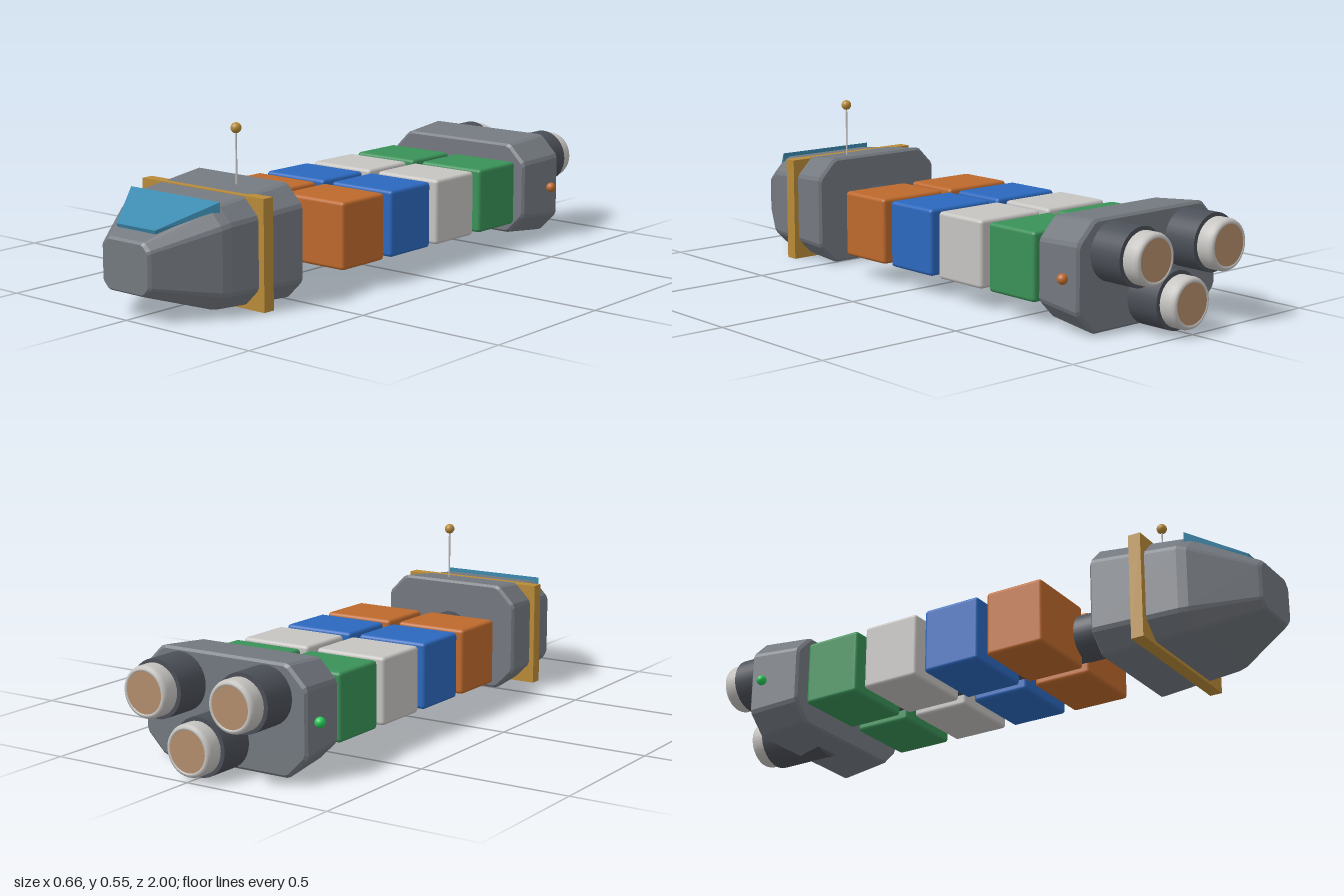
import * as THREE from 'three';
import { RoundedBoxGeometry } from 'three/addons/geometries/RoundedBoxGeometry.js';
import { ConvexGeometry } from 'three/addons/geometries/ConvexGeometry.js';

const mat = (name, color, flatShading = false) => {
  const m = new THREE.MeshStandardMaterial({ color, flatShading });
  m.name = name;
  return m;
};

// Chamfered rectangle with slightly softened corners, counter-clockwise seen from +z
function section(z, w, y0, y1, c, e = 0.008) {
  const corners = [
    [w, y0 + c], [w, y1 - c], [w - c, y1], [c - w, y1],
    [-w, y1 - c], [-w, y0 + c], [c - w, y0], [w - c, y0],
  ].map(([x, y]) => new THREE.Vector3(x, y, z));
  return corners.flatMap((p, i) => {
    const toward = (q) => p.clone().add(q.clone().sub(p).setLength(e));
    return [toward(corners[(i + 7) % 8]), toward(corners[(i + 1) % 8])];
  });
}

// Skin over sections listed from front to back, with closed ends
function loft(sections) {
  const pos = [];
  const tri = (...pts) => pts.forEach((p) => pos.push(p.x, p.y, p.z));
  const n = sections[0].length;
  for (let s = 0; s < sections.length - 1; s++) {
    const a = sections[s], b = sections[s + 1];
    for (let i = 0; i < n; i++) {
      const j = (i + 1) % n;
      tri(a[i], b[i], b[j]);
      tri(a[i], b[j], a[j]);
    }
  }
  const first = sections[0], last = sections[sections.length - 1];
  for (let i = 1; i < n - 1; i++) {
    tri(first[0], first[i], first[i + 1]);
    tri(last[0], last[i + 1], last[i]);
  }
  const g = new THREE.BufferGeometry();
  g.setAttribute('position', new THREE.Float32BufferAttribute(pos, 3));
  g.computeVertexNormals();
  return g;
}

export function createModel() {
  const hull = mat('hullGrey', 0x747980);
  const dark = mat('darkGrey', 0x4b4f57);
  const gold = mat('gold', 0xb88b38);
  const glass = mat('glassBlue', 0x3d8bb0);
  const orange = mat('orange', 0xbd692c);
  const blue = mat('blue', 0x2b68bd);
  const pale = mat('paleGrey', 0xc6c4c1);
  const green = mat('green', 0x3a9158);
  const tan = mat('tan', 0xb48e6c);
  const lamp = mat('lampGreen', 0x25c958);

  const model = new THREE.Group();
  model.name = 'cargoSpacecraft';
  const add = (name, geometry, material, x = 0, y = 0, z = 0, parent = model) => {
    const mesh = new THREE.Mesh(geometry, material);
    mesh.name = name;
    mesh.position.set(x, y, z);
    parent.add(mesh);
    return mesh;
  };
  const ball = (r) => new THREE.SphereGeometry(r, 24, 16);

  // Cabin with a tapered nose
  add('cabin', loft([
    section(1.0, 0.095, 0.088, 0.24, 0.022, 0.005),
    section(0.992, 0.104, 0.082, 0.248, 0.026, 0.005),
    section(0.81, 0.218, 0.024, 0.33, 0.05),
    section(0.78, 0.228, 0.019, 0.34, 0.053),
    section(0.498, 0.256, 0.003, 0.369, 0.064),
    section(0.49, 0.248, 0.01, 0.361, 0.062),
  ]), hull);
  add('cabinBand', new THREE.BoxGeometry(0.52, 0.351, 0.042), gold, 0, 0.1775, 0.655);

  // Windscreen slab on the sloping top of the nose
  const slab = [];
  for (const s of [-1, 1]) {
    slab.push(
      new THREE.Vector3(s * 0.19, 0.352, 0.79), new THREE.Vector3(s * 0.19, 0.32, 0.79),
      new THREE.Vector3(s * 0.082, 0.278, 0.955), new THREE.Vector3(s * 0.082, 0.264, 0.95),
    );
  }
  add('windscreen', new ConvexGeometry(slab), glass);

  // Antenna
  add('antennaPole', new THREE.CylinderGeometry(0.003, 0.003, 0.18, 12), pale, 0.063, 0.445, 0.585);
  add('antennaTip', ball(0.017), gold, 0.063, 0.536, 0.585);

  // Spine joining cabin and engine block
  add('spine', new THREE.CylinderGeometry(0.078, 0.078, 1.16, 32).rotateX(Math.PI / 2),
    dark, 0, 0.18, -0.07);

  // Four pairs of cargo containers
  const box = new RoundedBoxGeometry(0.256, 0.22, 0.206, 3, 0.012);
  [orange, blue, pale, green].forEach((m, i) => {
    for (const s of [-1, 1]) {
      add(s > 0 ? 'leftContainer' : 'rightContainer', box, m, s * 0.145, 0.178, 0.222 - i * 0.24);
    }
  });

  // Engine block
  add('engineBlock', loft([
    section(-0.632, 0.28, 0.03, 0.332, 0.062),
    section(-0.64, 0.288, 0.023, 0.34, 0.064),
    section(-0.812, 0.304, 0.006, 0.354, 0.068),
    section(-0.82, 0.296, 0.014, 0.346, 0.066),
  ]), hull);

  // Three engines, each a housing, a rounded nozzle ring and an exhaust disc
  const housing = new THREE.CylinderGeometry(0.093, 0.093, 0.22, 32).rotateX(-Math.PI / 2);
  const ring = new THREE.LatheGeometry([
    [0.078, 0], [0.082, 0.006], [0.082, 0.046], [0.078, 0.056], [0.072, 0.06], [0.066, 0.06], [0.064, 0.054],
  ].map(([r, h]) => new THREE.Vector2(r, h)), 32).rotateX(-Math.PI / 2);
  const disc = new THREE.CylinderGeometry(0.066, 0.066, 0.008, 32).rotateX(-Math.PI / 2);
  [[-0.16, 0.25], [0.16, 0.25], [0, 0.094]].forEach(([x, y]) => {
    const engine = new THREE.Group();
    engine.name = 'engine';
    engine.position.set(x, y, 0);
    model.add(engine);
    add('housing', housing, dark, 0, 0, -0.828, engine);
    add('nozzleRing', ring, pale, 0, 0, -0.937, engine);
    add('exhaustDisc', disc, tan, 0, 0, -0.992, engine);
  });

  // Side lamps
  add('leftLamp', ball(0.017), orange, 0.314, 0.178, -0.765);
  add('rightLamp', ball(0.017), lamp, -0.314, 0.178, -0.765);
  return model;
}
